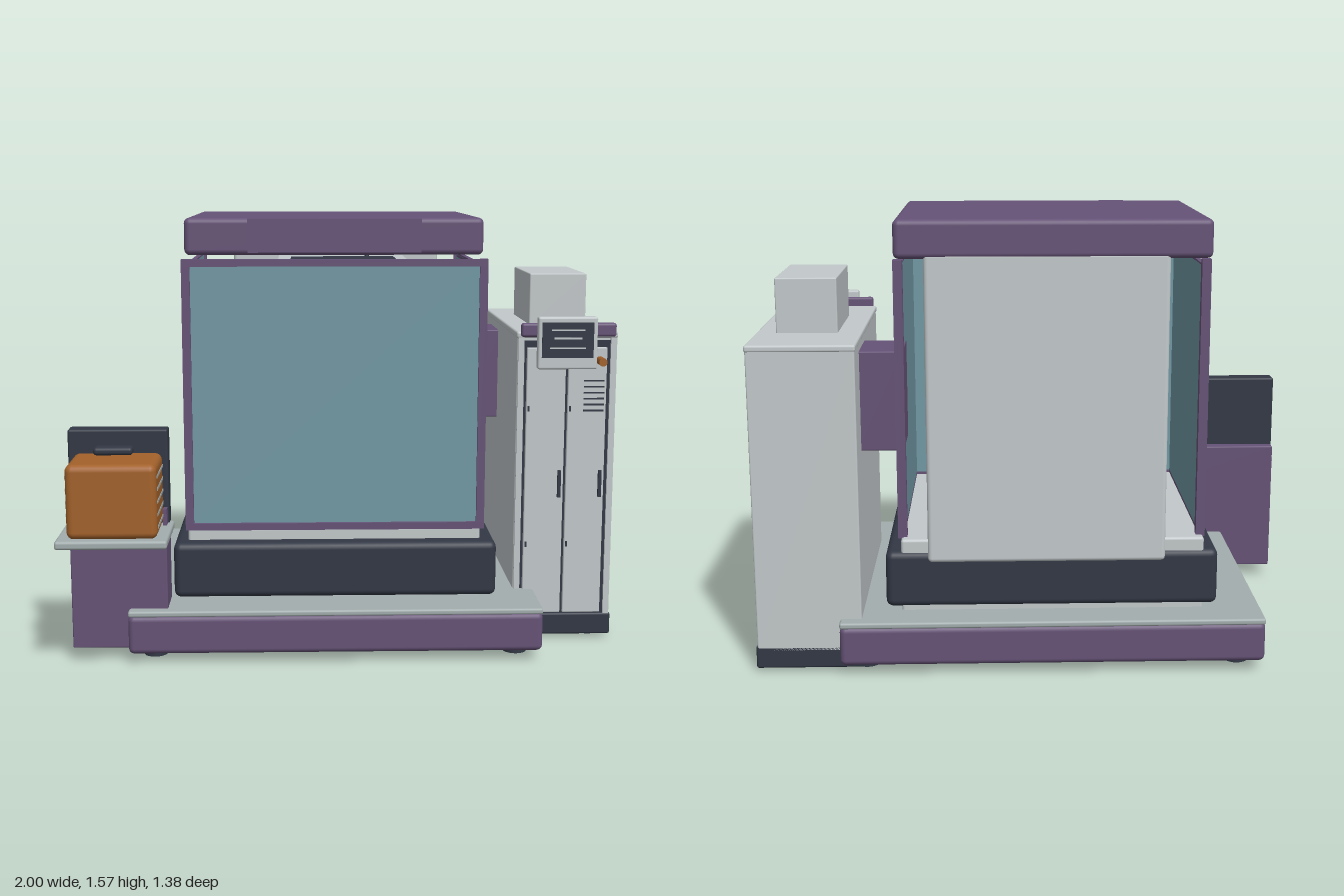
import * as THREE from 'three';
import { RoundedBoxGeometry } from 'three/addons/geometries/RoundedBoxGeometry.js';

const paint = (name, color) => {
  const m = new THREE.MeshStandardMaterial({ color });
  m.name = name;
  return m;
};

export function createModel() {
  const purple = paint('purple', 0x665377);
  const dark = paint('dark slate', 0x323845);
  const light = paint('light grey', 0xc3c9cb);
  const plate = paint('plate grey', 0xa3adad);
  const glass = paint('teal glass', 0x7298a5);
  const orange = paint('orange', 0xa3622b);

  const model = new THREE.Group();
  model.name = 'workstation';
  const group = (name) => {
    const g = new THREE.Group();
    g.name = name;
    model.add(g);
    return g;
  };
  const add = (parent, name, geometry, material, x = 0, y = 0, z = 0) => {
    const mesh = new THREE.Mesh(geometry, material);
    mesh.name = name;
    mesh.position.set(x, y, z);
    parent.add(mesh);
    return mesh;
  };
  // Box given by its extents, with an optional edge radius
  const box = (parent, name, material, [x0, x1], [y0, y1], [z0, z1], r = 0) => {
    const w = x1 - x0, h = y1 - y0, d = z1 - z0;
    const geo = r ? new RoundedBoxGeometry(w, h, d, 3, r) : new THREE.BoxGeometry(w, h, d);
    return add(parent, name, geo, material, (x0 + x1) / 2, (y0 + y1) / 2, (z0 + z1) / 2);
  };
  const foot = (parent, x, z, r, y0, y1) =>
    add(parent, 'foot', new THREE.CylinderGeometry(r, r, y1 - y0, 20), dark, x, (y0 + y1) / 2, z);

  // Platform
  const base = group('platform');
  box(base, 'platformBody', purple, [-0.78, 0.7], [0.04, 0.18], [-0.69, 0.515], 0.02);
  box(base, 'platformTop', plate, [-0.78, 0.7], [0.175, 0.197], [-0.69, 0.51], 0.008);
  for (const x of [-0.69, 0.61]) for (const z of [-0.6, 0.43]) foot(base, x, z, 0.042, 0.018, 0.045);

  // Cabinet core and plinth
  const cabinet = group('cabinet');
  box(cabinet, 'cabinetCore', light, [-0.575, 0.49], [0.015, 0.455], [-0.56, 0.33], 0.01);
  box(cabinet, 'cabinetPlinth', dark, [-0.625, 0.545], [0.21, 0.412], [-0.57, 0.39], 0.025);
  for (const x of [-0.47, 0.39]) for (const z of [-0.43, 0.24]) foot(cabinet, x, z, 0.03, 0.004, 0.016);
  box(cabinet, 'backColumn', light, [-0.435, 0.395], [0.38, 1.46], [-0.592, -0.45], 0.015);

  // Front pane and frame
  box(cabinet, 'frontGlass', glass, [-0.56, 0.48], [0.465, 1.415], [0.322, 0.338]);
  for (const [x0, x1] of [[-0.582, -0.552], [0.473, 0.502]])
    box(cabinet, 'frontPost', purple, [x0, x1], [0.452, 1.43], [0.325, 0.35]);
  for (const y of [0.452, 1.405])
    box(cabinet, 'frontRail', purple, [-0.582, 0.502], [y, y + 0.025], [0.325, 0.351]);

  // Side panes and frames
  for (const [x, s] of [[-0.565, -1], [0.485, 1]]) {
    box(cabinet, 'sideGlass', glass, [x - 0.006, x + 0.006], [0.465, 1.4], [-0.5, 0.322]);
    box(cabinet, 'rearPost', purple, [x - 0.016, x + 0.016], [0.45, 1.43], [-0.527, -0.495]);
    for (const y of [0.45, 1.39])
      box(cabinet, 'sideRail', purple, [x - 0.009 + s * 0.003, x + 0.009 + s * 0.003], [y, y + 0.016], [-0.5, 0.33]);
  }

  // Roof with a front panel
  box(cabinet, 'roof', purple, [-0.577, 0.495], [1.44, 1.572], [-0.595, 0.265], 0.02);
  box(cabinet, 'roofFrontPanel', purple, [-0.35, 0.27], [1.45, 1.57], [0.275, 0.283]);

  // Internal gear below the roof
  box(cabinet, 'innerShelf', light, [-0.25, 0.25], [1.36, 1.4], [-0.45, -0.04]);
  box(cabinet, 'innerBar', dark, [-0.2, 0.2], [1.4, 1.408], [-0.22, -0.04]);
  const ring = add(cabinet, 'fanRing', new THREE.TorusGeometry(0.045, 0.008, 8, 24), dark, 0.1, 1.37, -0.3);
  ring.rotation.y = Math.PI / 2;

  // Bridge to the tower
  box(model, 'bridge', purple, [0.475, 0.64], [0.76, 1.112], [-0.49, -0.26], 0.005);

  // Tower
  const tower = group('tower');
  box(tower, 'towerBase', dark, [0.62, 0.995], [0.018, 0.1], [-0.645, 0.26], 0.008);
  box(tower, 'towerBody', light, [0.625, 0.99], [0.078, 1.15], [-0.645, 0.25], 0.006);
  box(tower, 'towerLid', light, [0.622, 0.993], [1.138, 1.162], [-0.648, 0.257], 0.008);
  box(tower, 'topUnit', light, [0.705, 0.92], [1.155, 1.355], [-0.395, 0.005], 0.005);
  for (const x of [0.69, 0.92]) for (const z of [-0.5, -0.42, 0.12, 0.2]) foot(tower, x, z, 0.022, 0.006, 0.02);
  box(tower, 'doorRecess', dark, [0.645, 0.975], [0.09, 1.13], [0.247, 0.253]);
  for (const [x0, x1] of [[0.628, 0.65], [0.966, 0.988]])
    box(tower, 'doorJamb', light, [x0, x1], [0.1, 1.14], [0.248, 0.262]);
  for (const [x0, x1] of [[0.66, 0.803], [0.812, 0.953]]) {
    box(tower, 'door', light, [x0, x1], [0.105, 1.105], [0.25, 0.266], 0.004);
    box(tower, 'doorHandle', dark, [x1 - 0.022, x1 - 0.01], [0.55, 0.65], [0.264, 0.277]);
    for (const y of [0.36, 0.87])
      box(tower, 'hinge', dark, [x0 + 0.005, x0 + 0.012], [y, y + 0.02], [0.264, 0.27]);
  }
  for (let i = 0; i < 6; i++)
    box(tower, 'ventSlot', dark, [0.87, 0.945], [0.87 + i * 0.022, 0.876 + i * 0.022], [0.265, 0.268]);

  // Control panel
  const panel = group('controlPanel');
  box(panel, 'panelRail', purple, [0.635, 0.982], [1.145, 1.195], [0.255, 0.28], 0.01);
  box(panel, 'panelHousing', light, [0.692, 0.908], [1.03, 1.22], [0.27, 0.306], 0.008);
  box(panel, 'screen', dark, [0.706, 0.893], [1.072, 1.2], [0.303, 0.309]);
  for (const [y, w] of [[1.17, 0.06], [1.14, 0.05], [1.105, 0.065]])
    box(panel, 'screenLine', light, [0.8 - w, 0.8 + w], [y, y + 0.006], [0.308, 0.311]);
  const knob = add(panel, 'knob', new THREE.CylinderGeometry(0.015, 0.015, 0.07, 16), orange, 0.926, 1.058, 0.292);
  knob.rotation.x = Math.PI / 2;

  // Side stand
  const stand = group('sideStand');
  box(stand, 'standLower', purple, [-0.982, -0.64], [0.052, 0.475], [0.317, 0.47], 0.005);
  box(stand, 'standUpper', purple, [-0.982, -0.64], [0.44, 0.562], [0.317, 0.367], 0.005);
  box(stand, 'standBack', dark, [-0.985, -0.633], [0.44, 0.84], [0.36, 0.43], 0.008);
  for (const x of [-0.98, -0.652])
    box(stand, 'standBracket', purple, [x, x + 0.014], [0.46, 0.56], [0.425, 0.468]);
  box(stand, 'tray', plate, [-1, -0.618], [0.472, 0.502], [0.39, 0.69], 0.01);

  // Carry case
  const carry = group('carryCase');
  box(carry, 'caseBody', orange, [-0.962, -0.652], [0.5, 0.76], [0.43, 0.667], 0.025);
  for (const x of [-0.964, -0.654])
    for (let i = 0; i < 5; i++)
      box(carry, 'caseSlat', plate, [x, x + 0.004], [0.533 + i * 0.044, 0.543 + i * 0.044], [0.445, 0.64]);
  box(carry, 'caseHandle', dark, [-0.878, -0.742], [0.772, 0.8], [0.508, 0.56], 0.012);

  return model;
}
